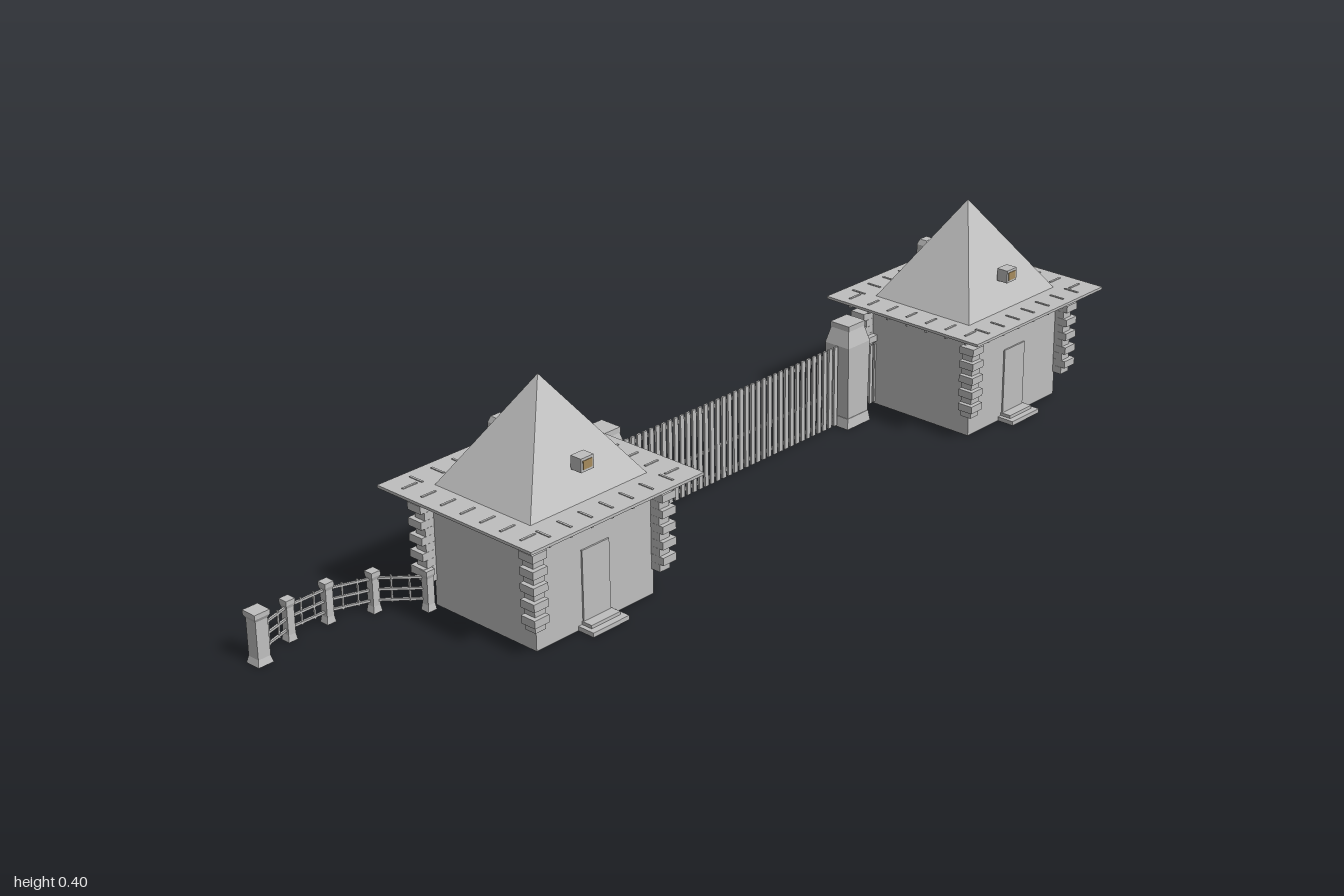
import * as THREE from 'three';

const stone = new THREE.MeshStandardMaterial({ color: 0xbebebe });
stone.name = 'stone grey';
const tan = new THREE.MeshStandardMaterial({ color: 0xa58a5c });
tan.name = 'window tan';

function add(parent, name, geometry, x, y, z, material = stone) {
  const mesh = new THREE.Mesh(geometry, material);
  mesh.name = name;
  mesh.position.set(x, y, z);
  parent.add(mesh);
  return mesh;
}

// Box standing on y
function box(parent, name, w, h, d, x, y, z, material) {
  return add(parent, name, new THREE.BoxGeometry(w, h, d), x, y + h / 2, z, material);
}

// Box whose top has a different size from its base, standing on y
function taper(parent, name, w0, d0, w1, d1, h, x, y, z) {
  const g = new THREE.BoxGeometry(1, h, 1);
  const p = g.attributes.position;
  for (let i = 0; i < p.count; i++) {
    const top = p.getY(i) > 0;
    p.setX(i, p.getX(i) * (top ? w1 : w0));
    p.setZ(i, p.getZ(i) * (top ? d1 : d0));
  }
  g.computeVertexNormals();
  return add(parent, name, g, x, y + h / 2, z);
}

// Square bar between two points
function bar(parent, name, a, b, t) {
  const m = add(parent, name, new THREE.BoxGeometry(t, t, a.distanceTo(b)), 0, 0, 0);
  m.position.copy(a).add(b).multiplyScalar(0.5);
  m.lookAt(b);
  return m;
}

function group(parent, name, x = 0, z = 0) {
  const g = new THREE.Group();
  g.name = name;
  g.position.set(x, 0, z);
  parent.add(g);
  return g;
}

function gatehouse(parent, x) {
  const h = group(parent, 'gatehouse', x, 0.0165);
  const hw = 0.131, hd = 0.1165;
  box(h, 'walls', hw * 2, 0.208, hd * 2, 0, 0, 0);

  // Flared eaves with rafter ends, and the pyramid roof
  taper(h, 'eavesUnderside', 0.275, 0.245, 0.372, 0.344, 0.011, 0, 0.2, 0);
  box(h, 'eaves', 0.38, 0.005, 0.352, 0, 0.2105, 0);
  taper(h, 'roof', 0.258, 0.22, 0.0006, 0.0006, 0.183, 0, 0.214, 0);
  for (const s of [-1, 1]) {
    for (let i = -3; i <= 3; i++) {
      const a = i * 0.045;
      box(h, 'rafter', 0.004, 0.019, 0.03, a, 0.198, s * 0.145);
      box(h, 'rafter', 0.03, 0.019, 0.004, s * 0.158, 0.198, a);
    }
  }

  // Alternating corner stones
  for (const sx of [-1, 1]) for (const sz of [-1, 1]) {
    for (let i = 0; i < 10; i++) {
      const w = i % 2 ? 0.031 : 0.023;
      box(h, 'cornerStone', w, 0.0138, w,
        sx * (hw - 0.004 + w / 2), 0.046 + i * 0.014, sz * (hd - 0.004 + w / 2));
    }
  }

  // Front door and steps
  box(h, 'door', 0.06, 0.125, 0.004, 0, 0.014, hd + 0.001);
  box(h, 'lowerStep', 0.08, 0.008, 0.034, 0, 0, hd + 0.017);
  box(h, 'upperStep', 0.064, 0.006, 0.022, 0, 0.008, hd + 0.011);

  // Rear window
  box(h, 'rearWindow', 0.048, 0.07, 0.004, 0, 0.05, -hd - 0.001, tan);
  for (const s of [-1, 1]) {
    box(h, 'windowJamb', 0.004, 0.078, 0.006, s * 0.026, 0.046, -hd - 0.001);
    box(h, 'windowRail', 0.056, 0.004, 0.006, 0, 0.083 + s * 0.037, -hd - 0.001);
  }

  // Small roof windows, the rear one capped
  for (const s of [-1, 1]) {
    box(h, 'dormer', 0.028, 0.024, 0.023, 0, 0.263, s * 0.0945);
    box(h, 'dormerWindow', 0.02, 0.015, 0.002, 0, 0.2675, s * 0.1062, tan);
  }
  taper(h, 'dormerCap', 0.028, 0.023, 0.02, 0.016, 0.01, 0, 0.287, -0.0945);
}

// Fence post with flared foot and cap
function fencePost(parent, x, z, w, height) {
  const g = group(parent, 'fencePost', x, z);
  taper(g, 'foot', w, w, w * 0.8, w * 0.8, 0.012, 0, 0, 0);
  box(g, 'shaft', w * 0.8, height - 0.02, w * 0.8, 0, 0.01, 0);
  taper(g, 'cap', w * 0.8, w * 0.8, w, w, 0.006, 0, height - 0.014, 0);
  box(g, 'capTop', w, 0.008, w, 0, height - 0.008, 0);
}

function sideFence(parent, s) {
  const f = group(parent, 'sideFence');
  const spots = [[0.695, -0.097], [0.757, -0.158], [0.83, -0.185], [0.908, -0.185], [0.985, -0.162]];
  spots.forEach(([x, z], i) => {
    if (i === 4) fencePost(f, s * x, z, 0.03, 0.092);
    else fencePost(f, s * x, z, 0.018, 0.073);
    if (i === 0) return;
    const [px, pz] = spots[i - 1];
    for (const y of [0.02, 0.039, 0.059]) {
      bar(f, 'fenceRail', new THREE.Vector3(s * px, y, pz), new THREE.Vector3(s * x, y, z), 0.004);
    }
    // Uprights between posts
    for (const t of [1 / 3, 2 / 3]) {
      box(f, 'fenceUpright', 0.003, 0.048, 0.003, s * (px + (x - px) * t), 0.016, pz + (z - pz) * t);
    }
  });
}

function gatePost(parent, x) {
  const g = group(parent, 'gatePost', x, -0.077);
  taper(g, 'base', 0.064, 0.06, 0.058, 0.055, 0.02, 0, 0, 0);
  taper(g, 'shaft', 0.056, 0.053, 0.06, 0.056, 0.14, 0, 0.02, 0);
  taper(g, 'shoulder', 0.06, 0.056, 0.044, 0.042, 0.03, 0, 0.16, 0);
  box(g, 'cap', 0.046, 0.01, 0.044, 0, 0.19, 0);
}

// Row of pickets with rails behind them
function pickets(parent, name, x0, x1, n, height, z, rails) {
  const g = group(parent, name);
  const step = (x1 - x0) / n;
  for (let i = 0; i < n; i++) {
    box(g, 'picket', Math.min(0.009, step * 0.6), height, 0.004, x0 + (i + 0.5) * step, 0.004, z);
  }
  for (const y of rails) box(g, 'rail', x1 - x0, 0.006, 0.004, (x0 + x1) / 2, y, z - 0.004);
}

export function createModel() {
  const model = new THREE.Group();
  model.name = 'gatehouses';
  for (const s of [-1, 1]) {
    gatehouse(model, s * 0.545);
    gatePost(model, s * 0.318);
    sideFence(model, s);
    // Wicket between gate post and house
    const a = s * 0.345, b = s * 0.42;
    pickets(model, 'wicket', Math.min(a, b), Math.max(a, b), 6, 0.118, -0.09, [0.03, 0.1]);
    box(model, 'wicketLintel', 0.075, 0.012, 0.01, s * 0.382, 0.128, -0.091);
  }
  // Main gate
  pickets(model, 'mainGate', -0.287, 0.287, 38, 0.157, -0.073, [0.012, 0.065, 0.145]);
  return model;
}
